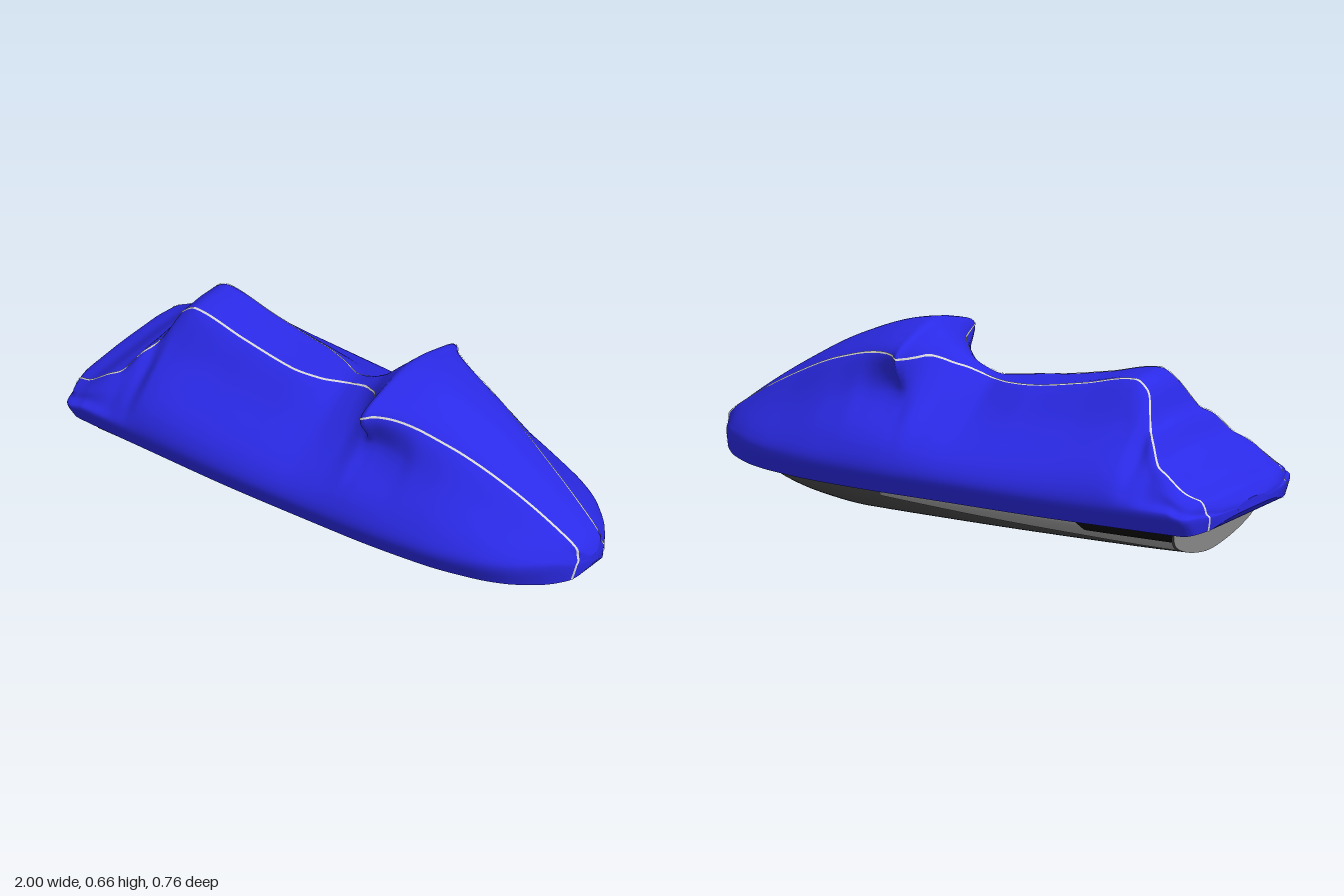
import * as THREE from 'three';

const mat = (name, color) => {
  const m = new THREE.MeshStandardMaterial({ color, side: THREE.DoubleSide });
  m.name = name;
  return m;
};
const V = (x, y, z) => new THREE.Vector3(x, y, z);
const { lerp, smoothstep, clamp } = THREE.MathUtils;

// smooth, overshoot-free curve through [x, value] pairs
function profile(pts) {
  const d = pts.slice(1).map((p, i) => (p[1] - pts[i][1]) / (p[0] - pts[i][0]));
  const m = pts.map((_, i) => {
    if (i === 0) return d[0];
    if (i === pts.length - 1) return d[i - 1];
    return d[i - 1] * d[i] <= 0 ? 0 : 2 * d[i - 1] * d[i] / (d[i - 1] + d[i]);
  });
  return x => {
    let i = 0;
    while (i < pts.length - 2 && x > pts[i + 1][0]) i++;
    const [x0, y0] = pts[i], [x1, y1] = pts[i + 1], h = x1 - x0;
    const t = clamp((x - x0) / h, 0, 1), t2 = t * t, t3 = t2 * t;
    return y0 * (2 * t3 - 3 * t2 + 1) + y1 * (3 * t2 - 2 * t3) + h * (m[i] * (t3 - 2 * t2 + t) + m[i + 1] * (t3 - t2));
  };
}

// surface mesh from a rule fn(s, t) with s and t in 0..1
function grid(name, material, ns, nt, fn) {
  const pos = [], idx = [];
  for (let i = 0; i <= ns; i++) for (let j = 0; j <= nt; j++) pos.push(...fn(i / ns, j / nt).toArray());
  for (let i = 0; i < ns; i++) for (let j = 0; j < nt; j++) {
    const a = i * (nt + 1) + j, b = a + nt + 1;
    idx.push(a, b, b + 1, a, b + 1, a + 1);
  }
  const g = new THREE.BufferGeometry();
  g.setAttribute('position', new THREE.Float32BufferAttribute(pos, 3));
  g.setIndex(idx);
  g.computeVertexNormals();
  const mesh = new THREE.Mesh(g, material);
  mesh.name = name;
  return mesh;
}

// surface swept along x from a rule that gives the section points at x
function sweep(section) {
  const cache = new Map();
  return (x, u) => {
    if (!cache.has(x)) cache.set(x, new THREE.CatmullRomCurve3(section(x), false, 'centripetal'));
    return cache.get(x).getPoint(clamp(u, 0, 1));
  };
}
function normalAt(surf, x, u) {
  const e = 0.002;
  const dx = surf(x + e, u).sub(surf(x - e, u)), du = surf(x, u + e).sub(surf(x, u - e));
  return dx.cross(du).normalize();
}
// flat end that joins the two halves of the section at x
const endCap = (name, material, surf, x) => grid(name, material, 24, 4, (s, t) =>
  surf(x, s / 2).lerp(surf(x, 1 - s / 2), x < 0 ? t : 1 - t));

// cover profiles along the length
const topY = profile([[-1, .215], [-.97, .25], [-.9, .283], [-.82, .345], [-.78, .37], [-.73, .44], [-.7, .465], [-.65, .565],
  [-.6, .592], [-.4, .55], [-.2, .515], [-.03, .503], [.1, .555], [.19, .635], [.23, .665], [.3, .655], [.5, .58], [.7, .465],
  [.9, .325], [.98, .255], [1, .222]]);
const seamDrop = profile([[-1, .008], [-.9, .01], [-.75, .02], [-.6, .006], [0, .004], [.1, .02], [.17, .045], [.22, .078],
  [.3, .07], [.5, .05], [.7, .03], [.9, .012], [1, .005]]);
const seamZ = profile([[-1, .22], [-.95, .262], [-.88, .278], [-.8, .265], [-.74, .215], [-.69, .15], [-.65, .095], [-.6, .088],
  [-.2, .085], [-.1, .065], [0, .03], [.06, .035], [.12, .065], [.17, .115], [.205, .2], [.22, .267], [.25, .235], [.35, .19],
  [.5, .152], [.7, .106], [1, .055]]);
const width = profile([[-1, .1], [-.99, .21], [-.968, .285], [-.945, .345], [-.92, .36], [-.6, .37], [-.2, .38], [.2, .372],
  [.5, .345], [.7, .298], [.8, .255], [.9, .178], [.95, .122], [.98, .075], [1, .02]]);
const neckZ = profile([[-1, .24], [-.95, .305], [-.88, .32], [-.8, .305], [-.69, .235], [-.6, .19], [-.2, .2], [0, .185],
  [.1, .19], [.2, .214], [.27, .208], [.35, .215], [.42, .23], [.5, .228], [.7, .186], [.9, .125], [1, .04]]);
const hemY = profile([[-1, .18], [-.97, .15], [-.9, .14], [-.5, .139], [0, .142], [.9, .137], [.96, .143], [.98, .154], [1, .185]]);

const cover = sweep(x => {
  const yt = topY(x), yb = hemY(x), w = width(x);
  const sz = Math.min(seamZ(x), w * .78), sy = yt - seamDrop(x);
  const wy = yb + Math.min(.08, (yt - yb) * .5);
  const nz = Math.min(neckZ(x), w * .89), ny = lerp(wy, sy, .64);
  const half = [[w * .9, yb], [w, wy], [w * .92, lerp(wy, ny, .38)], [nz, ny], [sz, sy], [sz * .55, lerp(sy, yt, .68)]];
  return [...half.map(([z, y]) => V(x, y, z)), V(x, yt, 0), ...half.reverse().map(([z, y]) => V(x, y, -z))];
});

// hull profiles along the length
const hullW = profile([[-.87, .292], [-.3, .29], [.2, .274], [.45, .252], [.6, .224], [.75, .17], [.83, .122], [.87, .095]]);
const keelY = profile([[-.87, .01], [-.6, .004], [0, 0], [.4, 0], [.58, .018], [.72, .05], [.8, .085], [.87, .107]]);
const hull = sweep(x => {
  const w = hullW(x), k = keelY(x), top = .155;
  const half = [[1, 1], [.98, .74], [.88, .49], [.65, .26], [.34, .085]].map(([z, y]) => [z * w, lerp(k, top, y)]);
  const slope = .04 * smoothstep(-x, .7, .87) - .13 * smoothstep(x, .72, .87);
  const rake = y => x + slope * (1 - y / top);
  return [...half.map(([z, y]) => V(rake(y), y, -z)), V(rake(k), k, 0), ...half.reverse().map(([z, y]) => V(rake(y), y, z))];
});

export function createModel() {
  const model = new THREE.Group();
  const blue = mat('cover blue', 0x2b2ae8), pale = mat('seam pale', 0xd8d8d8);
  const dark = mat('hull charcoal', 0x484848), grey = mat('hull grey', 0x9a9a9a), black = mat('bumper black', 0x080808);

  // fabric cover, its underside and its closed ends
  const coverX = s => -Math.cos(Math.PI * s);
  model.add(grid('cover', blue, 240, 72, (s, t) => cover(coverX(s), t)));
  model.add(grid('coverUnderside', blue, 80, 4, (s, t) => {
    const p = cover(coverX(s), 1);
    p.z *= 1 - 2 * t;
    return p;
  }));
  model.add(endCap('coverRearEnd', blue, cover, -1), endCap('coverNose', blue, cover, 1));

  // seam piping laid on a path of [x, u] over the cover
  const piping = (name, n, path) => {
    const at = t => cover(...path(clamp(t, 0, 1)));
    model.add(grid(name, pale, n, 1, (s, t) => {
      const [x, u] = path(s), nrm = normalAt(cover, x, u);
      const along = at(s + .5 / n).sub(at(s - .5 / n)).normalize();
      const side = nrm.clone().cross(along).normalize();
      return at(s).addScaledVector(nrm, .0025).addScaledVector(side, (t - .5) * .0075);
    }));
  };
  // station between inner and outer where the cover is z wide at u
  const stationAt = (inner, outer, u, z) => {
    for (let i = 0; i < 24; i++) {
      const mid = (inner + outer) / 2;
      if (Math.abs(cover(mid, u).z) > z) inner = mid; else outer = mid;
    }
    return inner;
  };
  const i0 = 25, i1 = 220;
  const x0 = coverX(i0 / 240), x1 = coverX(i1 / 240);
  for (const [side, seamU, hemU] of [['left', 4 / 12, 0], ['right', 8 / 12, 1]]) {
    const endSeam = (name, xs, inner, outer, hemZ) => {
      const startZ = Math.abs(cover(xs, seamU).z);
      piping(side + name, 30, s => {
        const u = lerp(seamU, hemU, s);
        return [stationAt(inner, outer, u, lerp(startZ, hemZ, s * s)), u];
      });
    };
    piping(side + 'Seam', i1 - i0, s => [coverX((i0 + s * (i1 - i0)) / 240), seamU]);
    endSeam('BowSeam', x1, .9, .998, .087);
    endSeam('SternSeam', x0, -.92, -.998, .25);
  }

  // hull shell with transom and blunt bow
  const hullX = s => lerp(-.87, .87, s);
  model.add(grid('hull', dark, 90, 40, (s, t) => hull(hullX(s), t)));
  model.add(endCap('transom', grey, hull, -.87), endCap('bowEnd', grey, hull, .87));

  // thin panels that follow the hull
  const panel = (name, m, xa, xb, ua, ub, lift) => {
    model.add(grid(name, m, 30, 6, (s, t) => {
      const x = lerp(xa, xb, s), u = lerp(ua(s), ub(s), t);
      return hull(x, u).addScaledVector(normalAt(hull, x, u), lift);
    }));
  };
  const mirrored = (name, m, xa, xb, ua, ub, lift) => {
    panel('right' + name, m, xa, xb, ua, ub, lift);
    panel('left' + name, m, xa, xb, s => 1 - ub(s), s => 1 - ua(s), lift);
  };
  mirrored('SideRail', grey, -.865, .28, () => .01, s => lerp(.24, .11, s), .004);
  mirrored('RearBumper', black, -.868, -.48, () => .01, s => s > .9 ? lerp(.12, .05, (s - .9) * 10) : .12, .0095);
  mirrored('BowPanel', grey, .81, .868, () => .01, s => lerp(.04, .36, s), .003);
  return model;
}
